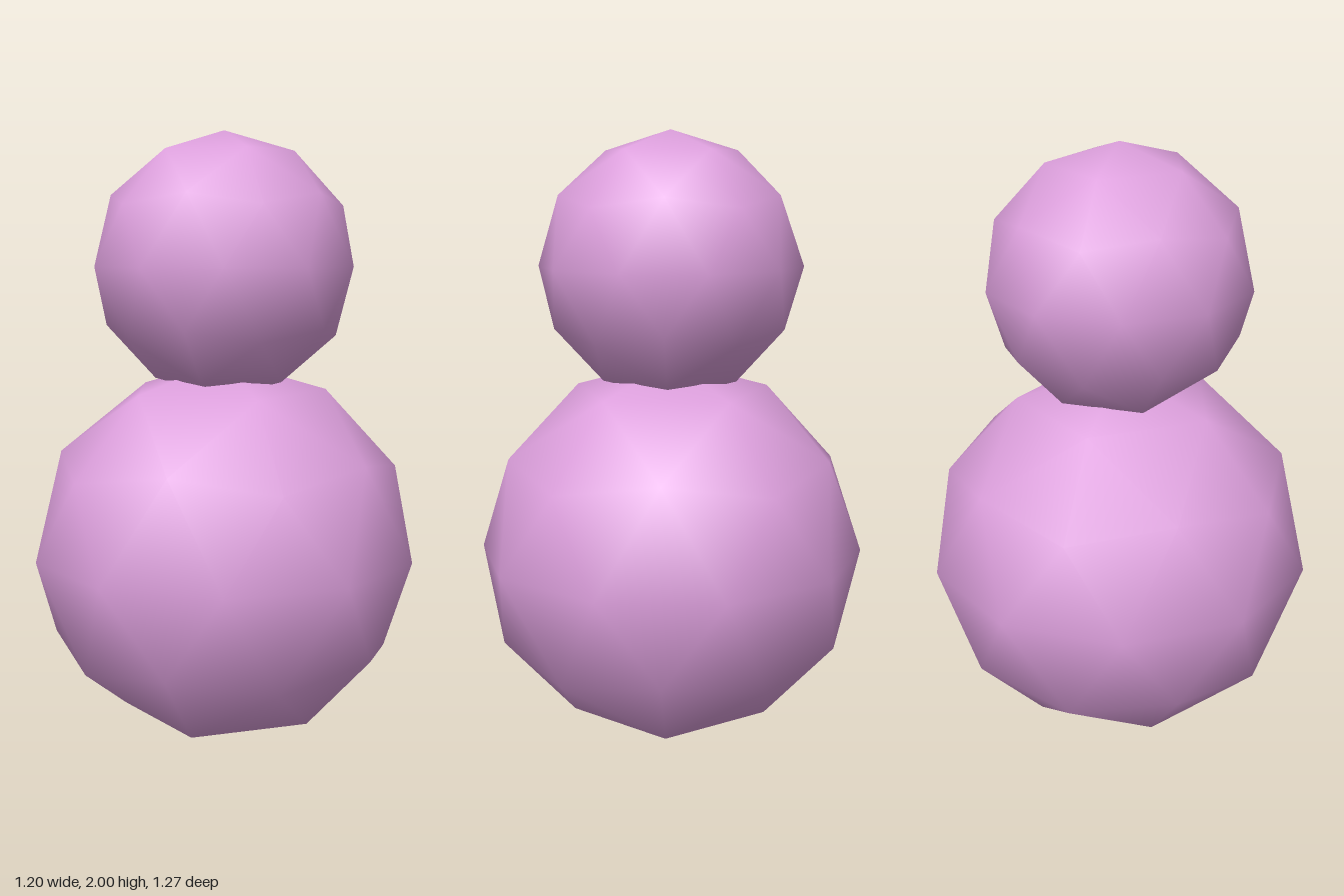
import * as THREE from 'three';

const material = new THREE.MeshStandardMaterial({ color: 0xdda0dd });

// Low-poly ball with smooth normals, turned so that one corner points straight up
function makeBall(name, radius, y) {
  const geometry = new THREE.IcosahedronGeometry(radius, 1);
  const golden = (1 + Math.sqrt(5)) / 2;
  geometry.rotateZ(-Math.atan(1 / golden));
  const ball = new THREE.Mesh(geometry, material);
  ball.name = name;
  ball.position.y = y;
  return ball;
}

export function createModel() {
  const model = new THREE.Group();
  model.name = 'stackedBalls';
  const bodyRadius = 0.633;
  const headRadius = 0.428;

  // The body rests on the ground, the head sinks slightly into it
  model.add(makeBall('body', bodyRadius, bodyRadius));
  model.add(makeBall('head', headRadius, 2 - headRadius));
  return model;
}
